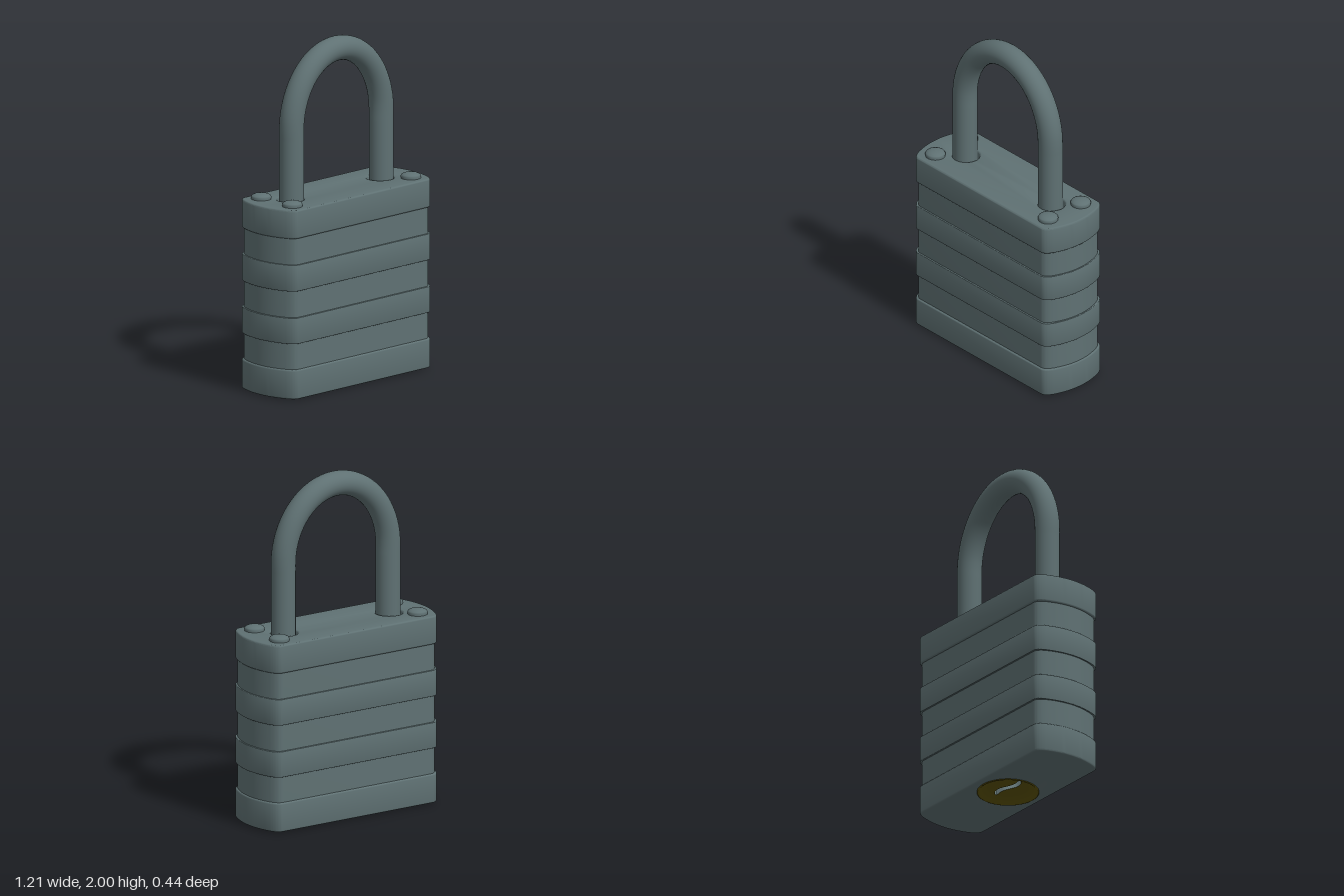
import * as THREE from 'three';
import { toCreasedNormals } from 'three/addons/utils/BufferGeometryUtils.js';

const mat = (name, color) => {
  const m = new THREE.MeshStandardMaterial({ color });
  m.name = name;
  return m;
};

// Body outline: straight front and back, bowed ends, rounded corners
function outline(w, d) {
  const s = new THREE.Shape();
  s.moveTo(-w + 0.09, -d);
  s.lineTo(w - 0.09, -d);
  s.quadraticCurveTo(w - 0.053, -d, w - 0.03, -d + 0.06);
  s.quadraticCurveTo(w + 0.03, 0, w - 0.03, d - 0.06);
  s.quadraticCurveTo(w - 0.053, d, w - 0.09, d);
  s.lineTo(-w + 0.09, d);
  s.quadraticCurveTo(-w + 0.053, d, -w + 0.03, d - 0.06);
  s.quadraticCurveTo(-w - 0.03, 0, -w + 0.03, -d + 0.06);
  s.quadraticCurveTo(-w + 0.053, -d, -w + 0.09, -d);
  return s;
}

function roundHole(x, y, r) {
  const p = new THREE.Path();
  p.absarc(x, y, r, 0, Math.PI * 2, true);
  return p;
}

// Extrude a plan shape upward from y0 to y1 with an optional rounded edge
function slab(shape, y0, y1, bevel = 0) {
  const g = new THREE.ExtrudeGeometry(shape, {
    depth: y1 - y0 - 2 * bevel, curveSegments: 16,
    bevelEnabled: bevel > 0, bevelThickness: bevel, bevelSize: bevel,
    bevelOffset: -bevel, bevelSegments: 3,
  });
  g.rotateX(-Math.PI / 2);
  g.translate(0, y0 + bevel, 0);
  return toCreasedNormals(g, 0.6);
}

const profile = (rows) => rows.map(([r, y]) => new THREE.Vector2(r, y));

export function createModel() {
  const root = new THREE.Group();
  root.name = 'padlock';
  const steel = mat('steel', 0x5f7173);
  const brass = mat('brass', 0x5c5204);
  const pale = mat('pale steel', 0x8ba3a5);
  brass.side = THREE.DoubleSide;

  const add = (name, geometry, material) => {
    const m = new THREE.Mesh(geometry, material);
    m.name = name;
    root.add(m);
    return m;
  };

  // Stacked plates, alternately wide and narrow
  const levels = [0.006, 0.178, 0.33, 0.482, 0.637, 0.79, 0.943, 1.11];
  for (let i = 0; i < 7; i++) {
    const wide = i % 2 === 0;
    const shape = wide ? outline(0.605, 0.221) : outline(0.597, 0.211);
    if (i === 0) shape.holes.push(roundHole(0, 0, 0.168));
    if (i === 6) for (const s of [-1, 1]) shape.holes.push(roundHole(s * 0.36, 0.006, 0.078));
    const bevel = i === 0 || i === 6 ? 0.01 : wide ? 0.003 : 0;
    add(wide ? 'widePlate' : 'narrowPlate', slab(shape, levels[i], levels[i + 1], bevel), steel);
  }

  // Shackle: two legs joined by a slightly tall arch
  const pts = [];
  const legX = 0.36, springY = 1.51, rise = 0.419, z = 0.003;
  for (let i = 0; i < 12; i++) pts.push(new THREE.Vector3(-legX, 0.97 + i * 0.045, z));
  for (let i = 0; i <= 20; i++) {
    const a = Math.PI * (1 - i / 20);
    pts.push(new THREE.Vector3(Math.cos(a) * legX, springY + Math.sin(a) * rise, z));
  }
  for (let i = 11; i >= 0; i--) pts.push(new THREE.Vector3(legX, 0.97 + i * 0.045, z));
  add('shackle', new THREE.TubeGeometry(new THREE.CatmullRomCurve3(pts), 96, 0.071, 28), steel);

  // Domed rivets on the top plate
  const rivet = new THREE.LatheGeometry(profile(
    [[0.056, 1.1], [0.058, 1.122], [0.053, 1.131], [0.038, 1.138], [0.02, 1.142], [0, 1.143]]), 32);
  for (const x of [-0.475, 0.475]) {
    for (const rz of [-0.125, 0.125]) add('rivet', rivet, steel).position.set(x, 0, rz);
  }

  // Brass rim and dish sloping up to the recessed cylinder face
  add('cylinderDish', new THREE.LatheGeometry(profile(
    [[0.178, 0.012], [0.176, 0.002], [0.171, 0], [0.165, 0.004], [0.155, 0.014],
      [0.145, 0.021], [0.13, 0.028], [0.118, 0.032]]), 48), brass);

  // Cylinder face with a wavy keyway
  const face = new THREE.Shape();
  face.absarc(0, 0, 0.12, 0, Math.PI * 2, false);
  const upper = [], lower = [], half = 0.115;
  for (let i = 0; i <= 16; i++) {
    const x = -half + 2 * half * i / 16;
    const y = Math.sin(x * 28) * 0.016;
    const width = 0.006 + 0.013 * Math.sqrt(1 - (x / half) ** 2);
    upper.push(new THREE.Vector2(x, y + width));
    lower.unshift(new THREE.Vector2(x, y - width));
  }
  face.holes.push(new THREE.Path([...upper, ...lower]));
  add('cylinderFace', slab(face, 0.032, 0.072), [brass, pale]);

  // Back wall of the keyway
  const back = new THREE.CylinderGeometry(0.117, 0.117, 0.008, 32);
  back.translate(0, 0.075, 0);
  add('keywayBack', back, brass);

  return root;
}
